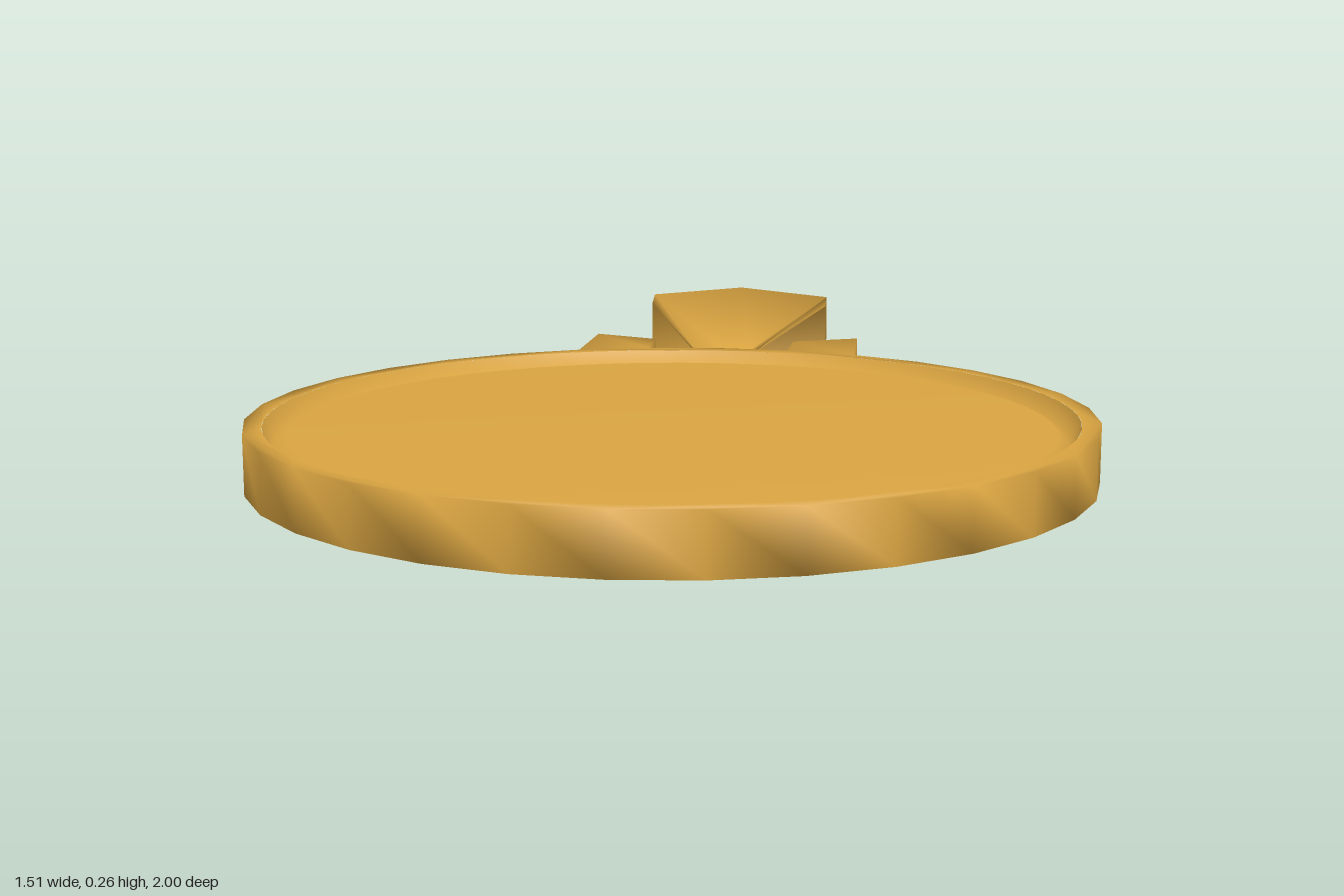
import * as THREE from 'three';
import { mergeGeometries, mergeVertices } from 'three/addons/utils/BufferGeometryUtils.js';

const CZ = 0.245, R = 0.755, INNER = 0.72, BOTTOM = 0.09, TOP = 0.196;
const gold = new THREE.MeshStandardMaterial({ color: 0xd9a441 });

function part(name, geometry, parent) {
  const mesh = new THREE.Mesh(geometry, gold);
  mesh.name = name;
  parent.add(mesh);
  return mesh;
}

// Weld coincident corners so the shading flows softly over the edges
function soften(geometry) {
  geometry.deleteAttribute('normal');
  geometry.deleteAttribute('uv');
  const welded = mergeVertices(geometry);
  welded.computeVertexNormals();
  return welded;
}

// Outline of the faceted ring with two lugs at the back (shape y is -z)
function outline() {
  const pts = [];
  for (let k = 31; k >= 0; k--) {
    const a = (k / 32) * Math.PI * 2;
    const lug = [[0.285, 0.68], [0.15, 0.62]];
    if (k === 30) pts.push(new THREE.Vector2(-0.15, 0.62), new THREE.Vector2(-0.285, 0.68));
    if (k === 1) lug.forEach(([x, y]) => pts.push(new THREE.Vector2(x, y)));
    pts.push(new THREE.Vector2(R * Math.sin(a), R * Math.cos(a) - CZ));
  }
  return pts;
}

// Rim top, outer wall and full flat underside as one shell
function frameGeometry() {
  const pts = outline();
  const rim = new THREE.Shape(pts);
  rim.holes.push(new THREE.Path().absarc(0, -CZ, INNER, 0, Math.PI * 2));
  const top = new THREE.ShapeGeometry(rim, 64).rotateX(-Math.PI / 2).translate(0, TOP, 0);

  const under = new THREE.ShapeGeometry(new THREE.Shape(pts)).rotateX(-Math.PI / 2).translate(0, BOTTOM, 0);
  under.setIndex([...under.index.array].reverse());

  const pos = [], idx = [], n = pts.length;
  pts.forEach((p, i) => {
    const a = 2 * i, b = 2 * ((i + 1) % n);
    pos.push(p.x, BOTTOM, -p.y, p.x, TOP, -p.y);
    idx.push(a, b, a + 1, b, b + 1, a + 1);
  });
  const wall = new THREE.BufferGeometry();
  wall.setAttribute('position', new THREE.Float32BufferAttribute(pos, 3));
  wall.setIndex(idx);

  for (const g of [top, under]) {
    g.deleteAttribute('normal');
    g.deleteAttribute('uv');
  }
  return soften(mergeGeometries([top, under, wall]));
}

// Tapered loop: a lens-shaped section carried round four corners
function bailGeometry() {
  const midY = 0.131;
  // each entry: x factor, then [z, half height] at the back and front corners
  const outerEdge = { back: [-0.975, 0.115], front: [-0.59, 0.05] };
  const innerEdge = { back: [-0.93, 0.1], front: [-0.61, 0.036] };
  const section = [
    { x: 1, ...outerEdge },
    { x: 0, back: [-1, 0.131], front: [-0.57, 0.055] },
    { x: -1, ...outerEdge },
    { x: -1, ...innerEdge },
    { x: 0, back: [-0.91, 0.085], front: [-0.63, 0.03] },
    { x: 1, ...innerEdge },
  ];
  const corners = [['back', 1, 0.2], ['front', 1, 0.06], ['front', -1, 0.06], ['back', -1, 0.2]];
  const pos = [], idx = [], n = section.length;
  corners.forEach(([end, side, w], i) => {
    section.forEach((s, j) => {
      const [z, h] = s[end];
      pos.push(s.x * w, midY + side * h, z);
      const i2 = (i + 1) % 4, j2 = (j + 1) % n;
      const a = i * n + j, b = i * n + j2, c = i2 * n + j, d = i2 * n + j2;
      idx.push(a, b, c, b, d, c);
    });
  });
  const g = new THREE.BufferGeometry();
  g.setAttribute('position', new THREE.Float32BufferAttribute(pos, 3));
  g.setIndex(idx);
  g.computeVertexNormals();
  return g;
}

export function createModel() {
  const model = new THREE.Group();
  model.name = 'pendant';

  part('frameWithLugs', frameGeometry(), model);

  // Recessed face with a narrow V groove inside the rim
  const profile = [[INNER, TOP], [0.7, 0.16], [0.68, 0.176], [0, 0.176]]
    .map(([r, y]) => new THREE.Vector2(r, y));
  part('recessedFace', soften(new THREE.LatheGeometry(profile, 64)), model).position.z = CZ;

  // Thin pin between the lugs
  const pin = new THREE.CylinderGeometry(0.015, 0.015, 0.57, 12, 1, true).rotateZ(Math.PI / 2);
  part('hingePin', pin, model).position.set(0, 0.14, -0.665);

  part('bail', bailGeometry(), model);
  return model;
}
